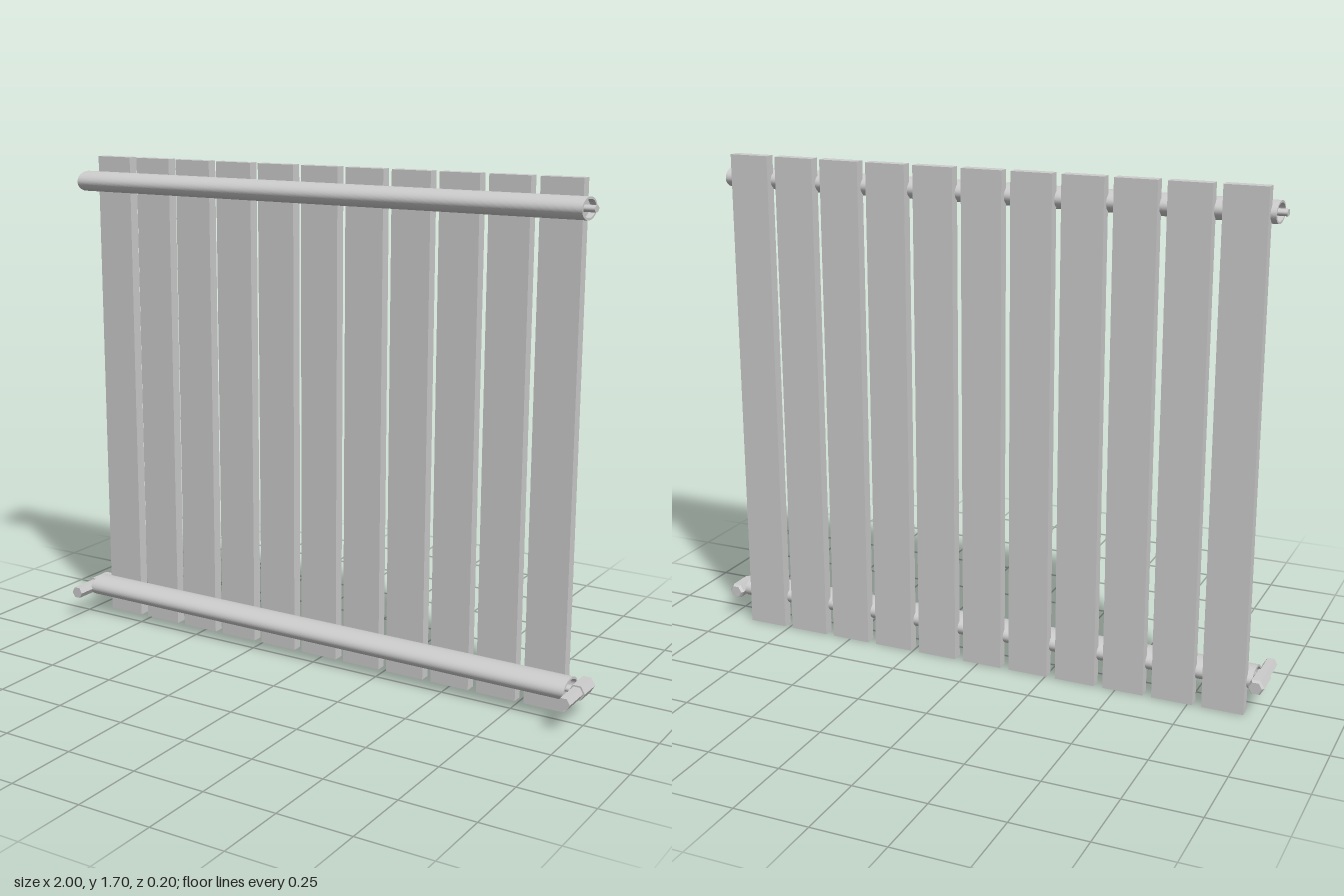
import * as THREE from 'three';

export function createModel() {
  const root = new THREE.Group();
  const smooth = new THREE.MeshStandardMaterial({ color: 0xcccccc });
  const flat = new THREE.MeshStandardMaterial({ color: 0xcccccc, flatShading: true });

  function add(parent, name, geometry, material, x, y, z) {
    const mesh = new THREE.Mesh(geometry, material);
    mesh.name = name;
    mesh.position.set(x, y, z);
    parent.add(mesh);
    return mesh;
  }

  // Row of flat vertical panels
  const panels = new THREE.Group();
  panels.name = 'panels';
  root.add(panels);
  const count = 11, width = 0.14, pitch = 0.1705;
  const panelGeometry = new THREE.BoxGeometry(width, 1.7, 0.038);
  for (let i = 0; i < count; i++) {
    add(panels, 'panel', panelGeometry, flat, -0.867 + i * pitch, 0.85, -0.079);
  }

  // Hollow oval header tube, running along x
  const tubeLength = 1.9, tubeX = -0.005, tubeZ = -0.02;
  const oval = new THREE.Shape().absellipse(0, 0, 0.058, 0.035, 0, Math.PI * 2);
  oval.holes.push(new THREE.Path().absellipse(0, 0, 0.05, 0.028, 0, Math.PI * 2, true));
  const tubeGeometry = new THREE.ExtrudeGeometry(oval, { depth: tubeLength, bevelEnabled: false, curveSegments: 40 });
  tubeGeometry.translate(0, 0, -tubeLength / 2).rotateY(Math.PI / 2);

  // Recessed oval end plug and small vent pin
  const plugGeometry = new THREE.CylinderGeometry(1, 1, 0.01, 40).rotateZ(Math.PI / 2).scale(1, 0.029, 0.051);
  const pinGeometry = new THREE.CylinderGeometry(1, 1, 0.045, 20).rotateZ(Math.PI / 2).scale(1, 0.011, 0.017);

  for (const [label, y] of [['upper', 1.615], ['lower', 0.105]]) {
    const header = new THREE.Group();
    header.name = label + 'Header';
    root.add(header);
    add(header, 'tube', tubeGeometry, smooth, tubeX, y, tubeZ);
    for (const side of [-1, 1]) {
      const end = tubeX + side * tubeLength / 2;
      add(header, 'endPlug', plugGeometry, smooth, end - side * 0.025, y, tubeZ);
      add(header, 'endPin', pinGeometry, smooth, end, y, tubeZ);
    }
  }

  // Six-sided bar along z, corners pointing sideways
  function hexBar(frontRadius, backRadius, length) {
    return new THREE.CylinderGeometry(frontRadius, backRadius, length, 6, 1, false, Math.PI / 2).rotateX(Math.PI / 2);
  }
  const bodyGeometry = hexBar(0.028, 0.028, 0.085);
  const capGeometry = hexBar(0.028, 0.022, 0.01);
  const spindleGeometry = hexBar(0.022, 0.022, 0.11);

  // Valves at both lower ends
  for (const [label, side] of [['left', 1], ['right', -1]]) {
    const valve = new THREE.Group();
    valve.name = label + 'Valve';
    valve.position.set(side * 0.972, 0.102, 0);
    root.add(valve);
    add(valve, 'valveBody', bodyGeometry, flat, 0, 0, -0.0475);
    add(valve, 'valveCap', capGeometry, flat, 0, 0, -0.095);
    add(valve, 'valveSpindle', spindleGeometry, flat, 0, 0, 0.045);
  }

  return root;
}
